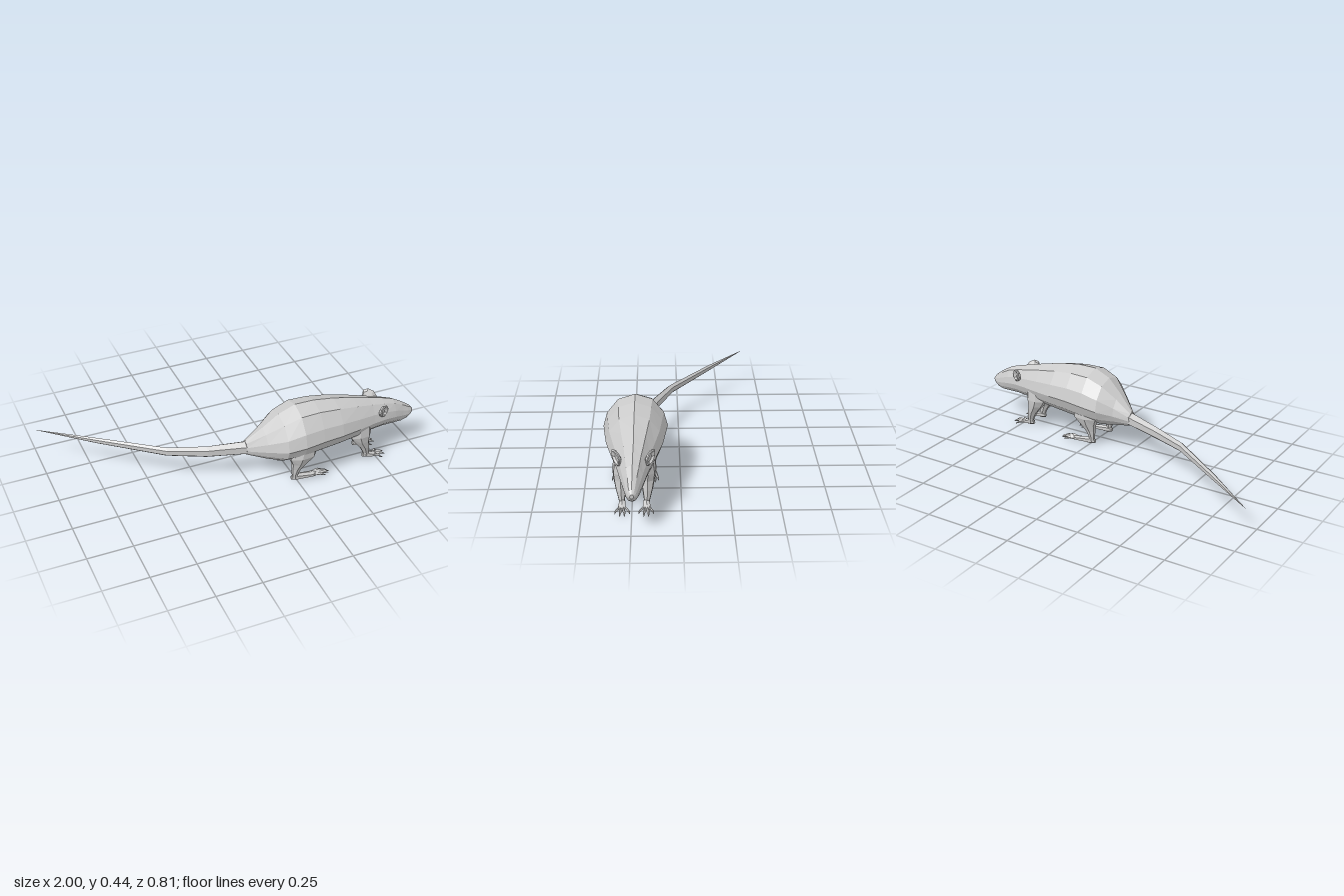
import * as THREE from 'three';

const MID = 0.238; // z of the body's plane of symmetry
const material = new THREE.MeshStandardMaterial({ color: 0xcccccc, flatShading: true });
const V = (x, y, z) => new THREE.Vector3(x, y, z);

// Skin a list of equal-length rings, closing both ends
function loft(name, rings, flip = false) {
  const pos = [];
  const tri = (a, b, c) => {
    for (const p of flip ? [a, c, b] : [a, b, c]) pos.push(p.x, p.y, p.z);
  };
  const n = rings[0].length;
  const centre = (r) => r.reduce((s, p) => s.add(p), V(0, 0, 0)).divideScalar(n);
  const first = rings[0], last = rings[rings.length - 1];
  const c0 = centre(first), c1 = centre(last);
  for (let j = 0; j < n; j++) {
    const k = (j + 1) % n;
    for (let i = 0; i + 1 < rings.length; i++) {
      const r = rings[i], q = rings[i + 1];
      tri(r[j], r[k], q[j]);
      tri(r[k], q[k], q[j]);
    }
    tri(c0, first[k], first[j]);
    tri(c1, last[j], last[k]);
  }
  const g = new THREE.BufferGeometry();
  g.setAttribute('position', new THREE.Float32BufferAttribute(pos, 3));
  g.computeVertexNormals();
  const mesh = new THREE.Mesh(g, material);
  mesh.name = name;
  return mesh;
}

const angles = (n, start = 0) => Array.from({ length: n }, (_, i) => start + (i / n) * Math.PI * 2);
// Upright ring for parts running along +x
const ringX = (x, y, z, ry, rz, n) => angles(n).map((a) => V(x, y + ry * Math.cos(a), z + rz * Math.sin(a)));
// Level ring for parts running downward
const ringY = (x, y, z, rx, rz, n) => angles(n).map((a) => V(x + rx * Math.cos(a), y, z + rz * Math.sin(a)));

// Half outline of the trunk: share of half width, share of height from the widest level
const HALF = [[0, 1], [0.53, 0.84], [0.88, 0.42], [1, 0], [0.86, -0.45], [0.5, -0.86], [0, -1]];
const OUTLINE = [...HALF, ...HALF.slice(1, -1).reverse().map(([w, h]) => [-w, h])];

function bodyRing([x, top, bottom, z, w]) {
  const mid = bottom + (top - bottom) * 0.43;
  return OUTLINE.map(([u, h]) => V(x, mid + h * (h > 0 ? top - mid : mid - bottom), z + u * w));
}

// Foot with fanned, pointed toes
function foot(name, side, heel, ball, tip, off, spread, count) {
  const g = new THREE.Group();
  g.name = name;
  const z = MID + side * off;
  g.add(loft('sole', [
    ringX(heel, 0.022, z, 0.012, 0.011, 6),
    ringX(heel + 0.03, 0.023, z, 0.021, 0.018, 6),
    ringX(ball - 0.01, 0.016, z + side * 0.003, 0.012, 0.022, 6),
    ringX(ball + 0.012, 0.014, z + side * 0.003, 0.007, 0.018, 6),
  ]));
  for (let i = 0; i < count; i++) {
    const t = (i / (count - 1)) * 2 - 1;
    const end = tip - 0.03 * t * t;
    g.add(loft('toe', [
      ringX(ball - 0.01, 0.016, z + t * 0.016, 0.007, 0.006, 4),
      ringX((ball + end) / 2, 0.017, z + t * spread * 0.7, 0.009, 0.007, 4),
      ringX(end - 0.015, 0.01, z + t * spread * 0.9, 0.006, 0.005, 4),
      ringX(end, 0.003, z + t * spread, 0.002, 0.001, 4),
    ]));
  }
  return g;
}

// Leg rings: [x, y, offset from the middle, x radius, z radius]
const leg = (name, side, rows) =>
  loft(name, rows.map(([x, y, off, rx, rz]) => ringY(x, y, MID + side * off, rx, rz, 7)));

// Cupped ear facing forward and outward
function ear(name, side) {
  const ring = (cx, cy, off, r) => angles(8).map((a) => {
    const h = r * Math.sin(a), v = r * Math.cos(a);
    return V(cx - 0.85 * h - 0.2 * v, cy + v, MID + side * (off + 0.5 * h + 0.2 * v));
  });
  return loft(name, [
    ring(0.765, 0.305, 0.066, 0.016),
    ring(0.765, 0.309, 0.076, 0.034),
    ring(0.774, 0.311, 0.086, 0.041),
    ring(0.778, 0.311, 0.089, 0.034),
    ring(0.77, 0.306, 0.08, 0.018),
  ], side < 0);
}

export function createModel() {
  const rat = new THREE.Group();
  rat.name = 'rat';

  // Trunk and head: x, top, bottom, middle z, half width
  rat.add(loft('body', [
    [0.0, 0.24, 0.157, 0.193, 0.032],
    [0.09, 0.322, 0.137, 0.218, 0.092],
    [0.175, 0.397, 0.122, 0.232, 0.155],
    [0.27, 0.437, 0.121, 0.235, 0.17],
    [0.38, 0.436, 0.132, 0.236, 0.16],
    [0.5, 0.418, 0.142, 0.237, 0.146],
    [0.62, 0.39, 0.15, MID, 0.118],
    [0.72, 0.362, 0.164, MID, 0.092],
    [0.8, 0.341, 0.168, 0.24, 0.074],
    [0.87, 0.318, 0.164, 0.241, 0.058],
    [0.925, 0.287, 0.16, 0.242, 0.042],
    [0.965, 0.259, 0.17, 0.243, 0.032],
    [0.985, 0.244, 0.185, 0.243, 0.024],
    [1.0, 0.225, 0.203, 0.243, 0.01],
  ].map(bodyRing)));

  // Tail, from the tip to the rump
  rat.add(loft('tail', [
    [-1.0, 0.195, -0.405, 0.001, 0.001],
    [-0.72, 0.19, -0.19, 0.018, 0.015],
    [-0.4, 0.184, 0.045, 0.027, 0.021],
    [-0.2, 0.184, 0.13, 0.035, 0.025],
    [0.03, 0.197, 0.2, 0.042, 0.036],
  ].map(([x, y, z, ry, rz]) => ringX(x, y, z, ry, rz, 6))));

  for (const side of [1, -1]) {
    const s = side < 0 ? 'left' : 'right';
    const cap = s[0].toUpperCase() + s.slice(1);

    rat.add(leg(s + 'HindLeg', side, [
      [0.29, 0.26, 0.1, 0.08, 0.045],
      [0.275, 0.17, 0.1, 0.085, 0.05],
      [0.262, 0.125, 0.097, 0.05, 0.038],
      [0.247, 0.085, 0.095, 0.029, 0.024],
      [0.238, 0.045, 0.095, 0.018, 0.016],
      [0.238, 0.018, 0.095, 0.014, 0.013],
    ]));
    rat.add(foot(s + 'HindFoot', side, 0.218, 0.355, 0.445, 0.092, 0.03, 5));

    rat.add(leg(s + 'FrontLeg', side, [
      [0.64, 0.26, 0.066, 0.07, 0.036],
      [0.642, 0.18, 0.07, 0.067, 0.042],
      [0.652, 0.14, 0.067, 0.05, 0.04],
      [0.676, 0.09, 0.067, 0.031, 0.028],
      [0.69, 0.045, 0.064, 0.019, 0.018],
      [0.692, 0.018, 0.063, 0.014, 0.013],
    ]));
    rat.add(foot(s + 'FrontFoot', side, 0.672, 0.745, 0.812, 0.06, 0.037, 4));

    rat.add(ear('ear' + cap, side));
  }
  return rat;
}
